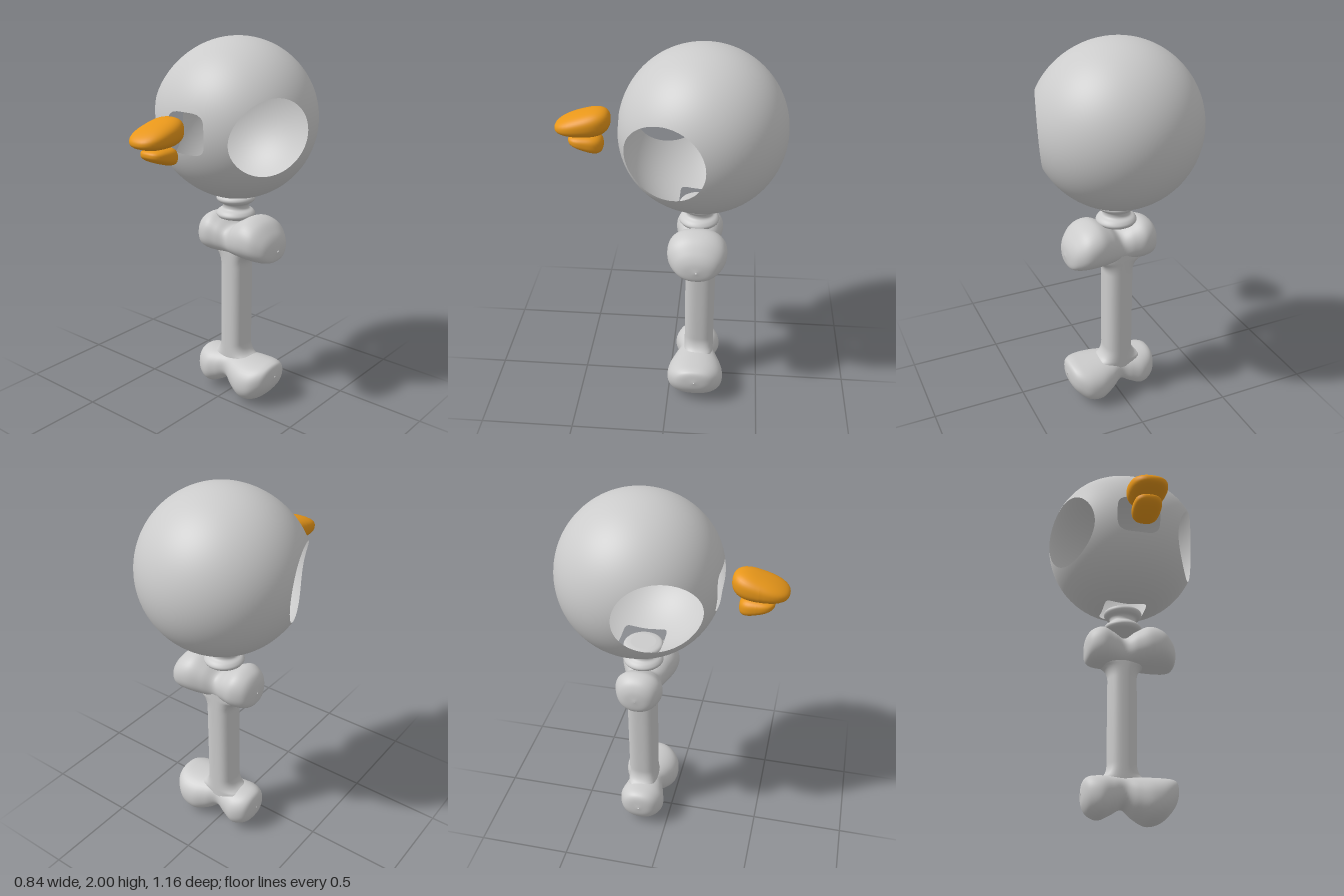
import * as THREE from 'three';

const grey = new THREE.MeshStandardMaterial({ color: 0xcccccc, side: THREE.DoubleSide });
const orange = new THREE.MeshStandardMaterial({ color: 0xe8971a });

// Superellipse point: exponent 2 is a circle, higher is squarer
function squircle(angle, p) {
  const c = Math.cos(angle), s = Math.sin(angle);
  const k = (Math.abs(c) ** p + Math.abs(s) ** p) ** (-1 / p);
  return [c * k, s * k];
}

// Closed rings joined into a smooth skin; fn(t, angle) returns [x, y, z]
function loft(rings, segs, fn) {
  const pos = [], index = [];
  for (let i = 0; i <= rings; i++) {
    for (let j = 0; j < segs; j++) pos.push(...fn(i / rings, (j / segs) * Math.PI * 2));
  }
  for (let i = 0; i < rings; i++) {
    for (let j = 0; j < segs; j++) {
      const a = i * segs + j, b = i * segs + ((j + 1) % segs);
      index.push(a, b, a + segs, b, b + segs, a + segs);
    }
  }
  const geo = new THREE.BufferGeometry();
  geo.setAttribute('position', new THREE.Float32BufferAttribute(pos, 3));
  geo.setIndex(index);
  geo.computeVertexNormals();
  return geo;
}

// Hollow head: a sphere shell with openings for eyes, beak and neck
function headGeometry() {
  const R = 0.42;
  // along: axis of the cut; u, v: the other axes; c: centre, s: half sizes, p: squareness
  const holes = [
    { along: 'x', dir: 1, u: 'y', v: 'z', c: [-0.03, 0.165], s: [0.195, 0.2], p: 2 },
    { along: 'x', dir: -1, u: 'y', v: 'z', c: [-0.03, 0.165], s: [0.195, 0.2], p: 2 },
    { along: 'z', dir: 1, u: 'x', v: 'y', c: [0, -0.015], s: [0.1, 0.105], p: 4 },
    { along: 'y', dir: -1, u: 'x', v: 'z', c: [0, 0], s: [0.115, 0.115], p: 8 },
  ];
  const geo = new THREE.SphereGeometry(R, 128, 96);
  const pos = geo.attributes.position, normal = geo.attributes.normal;
  const inside = [], q = new THREE.Vector3();
  for (let i = 0; i < pos.count; i++) {
    q.fromBufferAttribute(pos, i);
    inside[i] = -1;
    holes.forEach((h, n) => {
      if (inside[i] >= 0 || q[h.along] * h.dir <= 0) return;
      const du = q[h.u] - h.c[0], dv = q[h.v] - h.c[1];
      const d = (Math.abs(du / h.s[0]) ** h.p + Math.abs(dv / h.s[1]) ** h.p) ** (1 / h.p);
      if (d >= 1) return;
      // Slide the vertex along the shell to the rim of the opening
      inside[i] = n;
      const k = 1 / Math.max(d, 0.01);
      q[h.u] = h.c[0] + du * k;
      q[h.v] = h.c[1] + dv * k;
      q[h.along] = h.dir * Math.sqrt(Math.max(0, R * R - q[h.u] ** 2 - q[h.v] ** 2));
    });
    normal.setXYZ(i, q.x / R, q.y / R, q.z / R);
    // The face is a little broader than a true sphere
    if (q.z > 0) q.x *= 1 + 0.13 * (q.z / 0.36) ** 2;
    pos.setXYZ(i, q.x, q.y, q.z);
  }
  const kept = [], idx = geo.index.array;
  for (let i = 0; i < idx.length; i += 3) {
    const [a, b, c] = [idx[i], idx[i + 1], idx[i + 2]];
    if (inside[a] >= 0 && inside[a] === inside[b] && inside[b] === inside[c]) continue;
    kept.push(a, b, c);
  }
  geo.setIndex(kept);
  return geo;
}

// Rounded beak half; top and bottom are [back, tip] heights
function beakGeometry(halfWidth, zBack, zTip, top, bottom, p) {
  const geo = new THREE.SphereGeometry(1, 40, 28);
  const pos = geo.attributes.position, lerp = THREE.MathUtils.lerp;
  for (let i = 0; i < pos.count; i++) {
    const v = [pos.getX(i), pos.getY(i), pos.getZ(i)];
    const k = v.reduce((sum, n) => sum + Math.abs(n) ** p, 0) ** (-1 / p);
    const t = (v[2] * k + 1) / 2;
    const y = lerp(lerp(...bottom, t), lerp(...top, t), (v[1] * k + 1) / 2);
    pos.setXYZ(i, v[0] * k * halfWidth - 0.004, y, lerp(zBack, zTip, t));
  }
  geo.computeVertexNormals();
  return geo;
}

// Two-knobbed bone end, lofted along x: [x, top, bottom, half depth], heights from mid bone
function boneEndGeometry() {
  const sections = [
    [-0.212, 0.4, 0.39, 0.004], [-0.203, 0.455, 0.33, 0.065], [-0.175, 0.497, 0.306, 0.103],
    [-0.12, 0.516, 0.3, 0.125], [-0.06, 0.49, 0.3, 0.112], [0, 0.46, 0.3, 0.096],
    [0.06, 0.502, 0.3, 0.125], [0.13, 0.535, 0.3, 0.152], [0.2, 0.518, 0.3, 0.15],
    [0.25, 0.47, 0.302, 0.118], [0.276, 0.425, 0.316, 0.075], [0.286, 0.375, 0.365, 0.004],
  ];
  const make = (f) => new THREE.CatmullRomCurve3(
    sections.map((s) => new THREE.Vector3(...f(s))), false, 'catmullrom', 0.5);
  const heights = make((s) => [s[0], s[1], s[2]]);
  const depths = make((s) => [s[0], s[3], 0]);
  return loft(66, 48, (t, a) => {
    const h = heights.getPoint(t), d = depths.getPoint(t).y;
    const [c, s] = squircle(a, 2.3);
    return [h.x, (h.y + h.z) / 2 + ((h.y - h.z) / 2) * c, d * s];
  });
}

// Shaft that flares sideways into the bone ends
function shaftGeometry() {
  const half = 0.35;
  return loft(80, 40, (t, a) => {
    const y = (t * 2 - 1) * half;
    const f = Math.min(1, Math.max(0, (Math.abs(y) - 0.235) / 0.075));
    const rx = 0.076 + 0.06 * (1 - Math.sqrt(1 - f * f));
    const [c, s] = squircle(a, 2.7);
    return [rx * s, y, 0.081 * c];
  });
}

// Spool-like neck with two rounded rims
function neckGeometry() {
  const profile = new THREE.SplineCurve([
    [0.065, 1.043], [0.094, 1.05], [0.105, 1.067], [0.094, 1.085], [0.074, 1.098], [0.07, 1.112],
    [0.076, 1.127], [0.096, 1.138], [0.105, 1.154], [0.095, 1.17], [0.065, 1.176],
  ].map((p) => new THREE.Vector2(...p))).getPoints(50);
  return new THREE.LatheGeometry(
    [new THREE.Vector2(0, 1.043), ...profile, new THREE.Vector2(0, 1.176)], 48);
}

export function createModel() {
  const group = new THREE.Group();
  const add = (name, geo, mat, x = 0, y = 0, z = 0) => {
    const mesh = new THREE.Mesh(geo, mat);
    mesh.name = name;
    mesh.position.set(x, y, z);
    group.add(mesh);
    return mesh;
  };

  add('head', headGeometry(), grey, 0, 1.58, -0.16);
  add('upperBeak', beakGeometry(0.1, 0.3, 0.58, [1.69, 1.607], [1.527, 1.527], 2.5), orange);
  add('lowerBeak', beakGeometry(0.073, 0.34, 0.515, [1.53, 1.53], [1.42, 1.475], 2.8), orange);
  add('neck', neckGeometry(), grey, 0, 0, -0.15);

  // Bone body, the same end turned over at the bottom
  const end = boneEndGeometry();
  add('boneShaft', shaftGeometry(), grey, 0, 0.54, -0.162);
  add('upperBoneEnd', end, grey, 0, 0.54, -0.15);
  add('lowerBoneEnd', end, grey, 0, 0.54, -0.15).rotation.x = Math.PI;
  return group;
}
